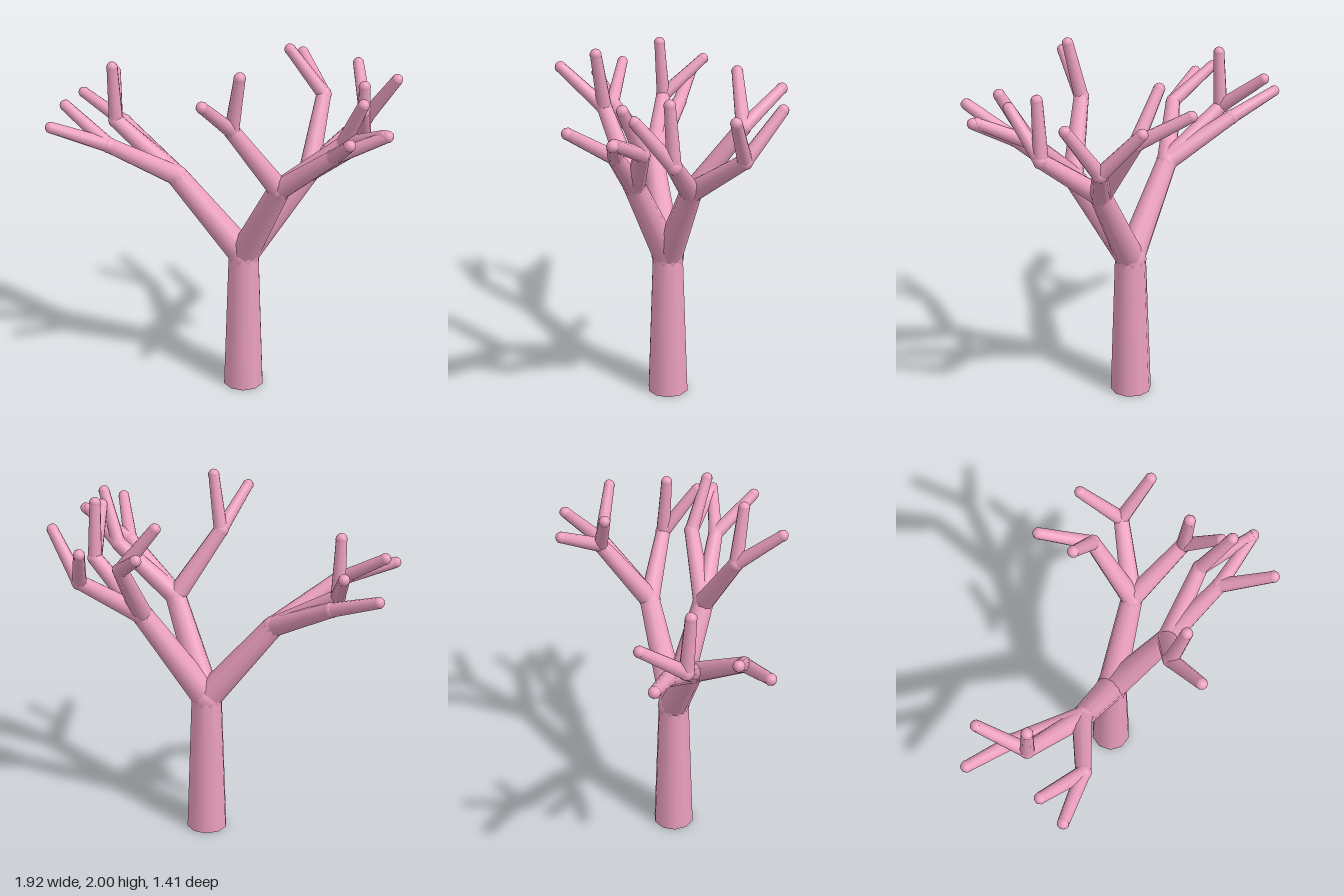
import * as THREE from 'three';

// Branching skeleton: each node is [x, y, z, children]
const tree = [0.055, 0.81, 0, [
  [-0.26, 1.26, 0.18, [
    [-0.46, 1.49, 0.49, [[-0.73, 1.66, 0.52], [-0.70, 1.59, 0.67]]],
    [-0.63, 1.51, 0.24, [[-0.625, 1.82, 0.26], [-0.79, 1.70, 0.05]]],
    [-0.65, 1.47, 0.15, [[-0.93, 1.58, 0.16]]],
  ]],
  [0.33, 1.30, -0.21, [
    [0.25, 1.65, -0.46, [[0.015, 1.80, -0.60], [0.08, 1.89, -0.38]]],
    [0.48, 1.55, -0.53, [[0.325, 1.78, -0.68], [0.66, 1.80, -0.53]]],
    [0.66, 1.55, -0.22, [[0.665, 1.86, -0.20], [0.755, 1.79, -0.05]]],
  ]],
  [0.35, 1.31, 0.09, [
    [0.20, 1.67, 0.30, [[0.20, 1.87, 0.54], [0.265, 1.97, 0.32]]],
    [0.64, 1.59, -0.05, [[0.785, 1.85, 0], [0.91, 1.72, 0]]],
    [0.67, 1.57, 0.08, [[0.93, 1.72, 0], [0.87, 1.74, 0.25]]],
  ]],
]];

// Start and end radius for each level
const levels = [
  { name: 'trunk', r0: 0.115, r1: 0.086 },
  { name: 'mainBranch', r0: 0.08, r1: 0.058 },
  { name: 'branch', r0: 0.056, r1: 0.041 },
  { name: 'twig', r0: 0.039, r1: 0.03 },
];
const SIDES = 10;
const UP = new THREE.Vector3(0, 1, 0);

export function createModel() {
  const model = new THREE.Group();
  model.name = 'branchingTree';
  const bark = new THREE.MeshStandardMaterial({ color: 0xeb9fbe });

  function addLimb(from, node, level) {
    const { name, r0, r1 } = levels[level];
    const end = new THREE.Vector3(node[0], node[1], node[2]);
    const dir = end.clone().sub(from);

    // Tapered limb with a round joint or tip at its end
    const limb = new THREE.Group();
    limb.name = name;
    limb.position.copy(from);
    limb.quaternion.setFromUnitVectors(UP, dir.clone().normalize());
    const length = dir.length();
    const shaft = new THREE.Mesh(new THREE.CylinderGeometry(r1, r0, length, SIDES), bark);
    shaft.name = name + 'Shaft';
    shaft.position.y = length / 2;
    const joint = new THREE.Mesh(new THREE.SphereGeometry(r1 * 1.04, SIDES, 8), bark);
    joint.name = node[3] ? name + 'Joint' : name + 'Tip';
    joint.position.y = length;
    limb.add(shaft, joint);
    model.add(limb);

    for (const child of node[3] ?? []) addLimb(end, child, level + 1);
  }

  addLimb(new THREE.Vector3(0.055, 0, 0), tree, 0);
  return model;
}
